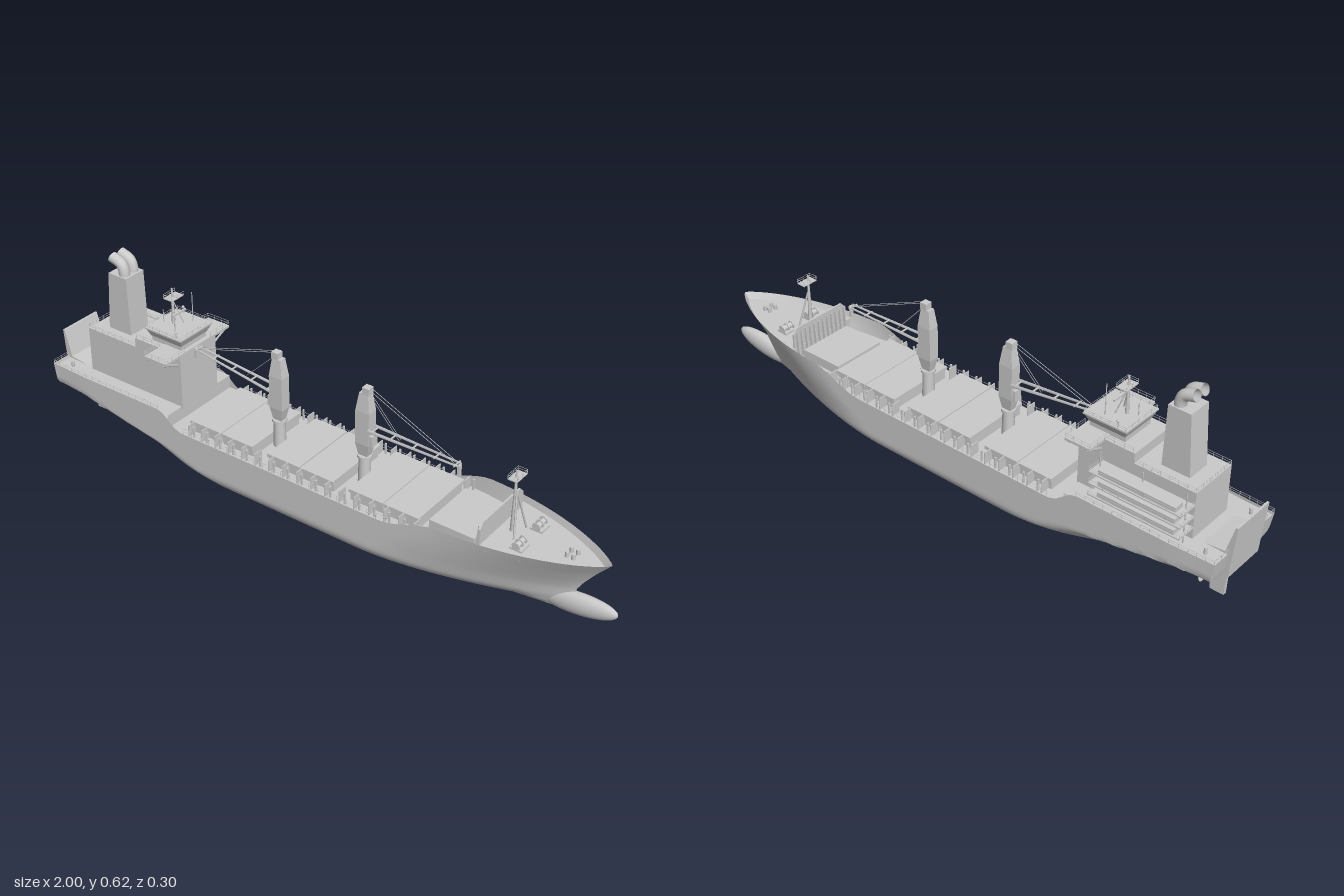
import * as THREE from 'three';
import { toCreasedNormals } from 'three/addons/utils/BufferGeometryUtils.js';

const mat = new THREE.MeshStandardMaterial({ color: 0xcccccc });
const thin = new THREE.MeshStandardMaterial({ color: 0xcccccc, side: THREE.DoubleSide });
const V = (x, y, z) => new THREE.Vector3(x, y, z);
const lerp = THREE.MathUtils.lerp, smooth = THREE.MathUtils.smoothstep;
const table = (pts, t) => {
  for (let i = 1; i < pts.length; i++)
    if (t <= pts[i][0]) return lerp(pts[i - 1][1], pts[i][1], Math.max(0, (t - pts[i - 1][0]) / (pts[i][0] - pts[i - 1][0])));
  return pts[pts.length - 1][1];
};

function add(parent, name, geo, x = 0, y = 0, z = 0, m = mat) {
  const mesh = new THREE.Mesh(geo, m);
  mesh.name = name;
  mesh.position.set(x, y, z);
  parent.add(mesh);
  return mesh;
}
function group(parent, name, x = 0, y = 0, z = 0) {
  const g = new THREE.Group();
  g.name = name;
  g.position.set(x, y, z);
  parent.add(g);
  return g;
}
// Box given by its limits
const box = (p, name, x0, x1, y0, y1, z0, z1) =>
  add(p, name, new THREE.BoxGeometry(x1 - x0, y1 - y0, z1 - z0), (x0 + x1) / 2, (y0 + y1) / 2, (z0 + z1) / 2);
// Round bar between two points
function bar(p, name, a, b, r = 0.0012, r2 = r, sides = 6) {
  const d = b.clone().sub(a), m = add(p, name, new THREE.CylinderGeometry(r2, r, d.length(), sides));
  m.position.copy(a).addScaledVector(d, 0.5);
  m.quaternion.setFromUnitVectors(V(0, 1, 0), d.normalize());
  return m;
}
// Railing with posts along a polyline
function rail(p, name, pts, h = 0.014, step = 0.03) {
  const g = group(p, name), up = k => V(0, h * k, 0);
  for (let i = 1; i < pts.length; i++) {
    const a = pts[i - 1], b = pts[i], n = Math.max(1, Math.round(a.distanceTo(b) / step));
    for (const k of [0.5, 1]) bar(g, 'railBar', a.clone().add(up(k)), b.clone().add(up(k)), 0.0008, 0.0008, 4);
    for (let j = 0; j <= n; j++) {
      const q = a.clone().lerp(b, j / n);
      bar(g, 'railPost', q, q.clone().add(up(1)), 0.0009, 0.0009, 4);
    }
  }
}
// Side profile (x, y) extruded across z
function slab(p, name, pts, z0, z1) {
  const s = new THREE.Shape(pts.map(q => new THREE.Vector2(q[0], q[1])));
  return add(p, name, new THREE.ExtrudeGeometry(s, { depth: z1 - z0, bevelEnabled: false }), 0, 0, z0);
}

// Hull form: sheer line, ends of each waterline and half width
const KEEL = 0.005;
const sheer = x => 0.165 + 0.053 * smooth(x, 0.3, 0.5) + 0.053 * (1 - smooth(x, -0.53, -0.44));
const aftEnd = y => table([[0, -0.8], [0.04, -0.84], [0.09, -0.85], [0.115, -0.92], [0.14, -0.968], [0.22, -0.982]], y);
const foreEnd = y => table([[0, 0.82], [0.05, 0.86], [0.09, 0.868], [0.12, 0.885], [0.17, 0.922], [0.22, 0.965]], y);
function halfWidth(x, y) {
  const t = y / 0.22, xs = lerp(0.2, 0.45, t), xf = foreEnd(y), xa = aftEnd(y);
  const f = THREE.MathUtils.clamp((x - xs) / (xf - xs), 0, 1);
  const bow = Math.pow(1 - Math.pow(f, lerp(1.7, 2.1, t)), lerp(1.15, 0.8, t));
  const k = 0.97 * smooth(y, 0.09, 0.16);
  const stern = lerp(k, 1, smooth((x - xa) / lerp(0.62, 0.16, Math.min(1, y / 0.15)), 0, 1));
  const w = 0.15 * bow * stern, r = Math.min(0.05, w), d = y - KEEL;
  return d < r ? w - r + Math.sqrt(Math.max(0, r * r - (r - d) ** 2)) : w;
}
// Open surface over a grid of points
function gridSurface(rows, cols, at) {
  const pos = [], idx = [];
  for (let i = 0; i < rows; i++) for (let j = 0; j < cols; j++) pos.push(...at(i, j));
  for (let i = 0; i < rows - 1; i++) for (let j = 0; j < cols - 1; j++) {
    const a = i * cols + j, b = a + cols;
    idx.push(a, b, a + 1, b, b + 1, a + 1);
  }
  const g = new THREE.BufferGeometry();
  g.setAttribute('position', new THREE.Float32BufferAttribute(pos, 3));
  g.setIndex(idx);
  return toCreasedNormals(g, 0.6);
}
function buildHull(ship) {
  const n = 22, cols = 110;
  add(ship, 'hull', gridSurface(cols + 2, 2 * n + 1, (i, j) => {
    const k = Math.abs(j - n), y0 = KEEL + (0.22 - KEEL) * Math.pow(Math.max(0, k - 1) / (n - 1), 1.4);
    const u = 0.5 - 0.5 * Math.cos(Math.PI * Math.max(0, i - 1) / cols);
    const x = lerp(aftEnd(y0), foreEnd(y0), u);
    const y = y0 < 0.1 ? y0 : lerp(0.1, sheer(x), (y0 - 0.1) / 0.12);
    return [x, y, k === 0 || i === 0 ? 0 : Math.sign(j - n) * halfWidth(x, y0)];
  }), 0, 0, 0, thin);
  // Decks, with a step at each end of the cargo area
  const xs = [];
  for (const [a, b, y] of [[-0.979, -0.49, 0.208], [-0.49, 0.61, 0.163], [0.61, 0.945, 0.198]])
    for (let i = 0; i <= 24; i++) xs.push([lerp(a, b, i / 24), y]);
  add(ship, 'deck', gridSurface(xs.length, 2, (i, j) => {
    const [x, y] = xs[i], y0 = 0.1 + 0.12 * Math.min(1, (y - 0.1) / (sheer(x) - 0.1));
    return [x, y, (j ? -1 : 1) * halfWidth(x, y0)];
  }), 0, 0, 0, thin);
  // Bulbous bow
  const bulb = add(ship, 'bulbousBow', new THREE.SphereGeometry(1, 32, 20), 0.875, 0.046, 0);
  bulb.scale.set(0.126, 0.036, 0.024);
  bulb.rotation.z = 0.12;
  // Rudder and propeller
  slab(ship, 'rudder', [[-0.94, 0], [-0.895, 0], [-0.888, 0.05], [-0.895, 0.125], [-0.945, 0.125]], -0.006, 0.006);
  const prop = group(ship, 'propeller', -0.868, 0.048, 0);
  bar(prop, 'propellerHub', V(-0.014, 0, 0), V(0.04, 0, 0), 0.005, 0.011, 16);
  for (let i = 0; i < 4; i++) {
    const arm = group(prop, 'propellerBlade');
    arm.rotation.x = i * Math.PI / 2 + 0.4;
    const blade = add(arm, 'blade', new THREE.SphereGeometry(1, 12, 8), 0, 0.019, 0);
    blade.scale.set(0.002, 0.019, 0.01);
    blade.rotation.y = 0.6;
  }
}
function buildCargoDeck(ship) {
  for (const x of [-0.42, -0.297, -0.12, 0.004, 0.18, 0.303]) {
    const g = group(ship, 'hatch');
    box(g, 'hatchCoaming', x, x + 0.115, 0.16, 0.195, -0.113, 0.113);
    box(g, 'hatchCover', x - 0.002, x + 0.118, 0.192, 0.203, -0.12, 0.12);
  }
  box(ship, 'forwardHatch', 0.44, 0.59, 0.16, 0.195, -0.095, 0.095);
  for (const s of [-1, 1]) {
    for (let x = -0.41; x < 0.44; x += 0.052) {
      box(ship, 'coamingStay', x, x + 0.003, 0.163, 0.203, s * 0.13 - 0.016, s * 0.13 + 0.016);
      box(ship, 'lashingPost', x + 0.015, x + 0.02, 0.163, 0.2, s * 0.14 - 0.003, s * 0.14 + 0.003);
    }
    rail(ship, 'mainDeckRail', [V(-0.43, 0.165, s * 0.148), V(0.33, 0.165, s * 0.148)], 0.02, 0.035);
  }
}
function buildCrane(ship, x, dir, tipY) {
  const c = group(ship, 'crane', x, 0, 0.012);
  bar(c, 'pedestal', V(0, 0.16, 0), V(0, 0.25, 0), 0.02, 0.018, 20);
  bar(c, 'slewRing', V(0, 0.25, 0), V(0, 0.258, 0), 0.023, 0.023, 20);
  // Tower: stacked square sections
  for (const [y0, y1, r0, r1] of [[0.258, 0.3, 0.022, 0.034], [0.3, 0.41, 0.034, 0.034], [0.41, 0.47, 0.034, 0.022]]) {
    const geo = new THREE.CylinderGeometry(r1, r0, y1 - y0, 4).toNonIndexed();
    geo.rotateY(Math.PI / 4);
    geo.computeVertexNormals();
    add(c, 'craneTower', geo, 0, (y0 + y1) / 2, 0).scale.z = 0.75;
  }
  box(c, 'sheaveHead', -0.012 + dir * 0.006, 0.012 + dir * 0.006, 0.468, 0.49, -0.012, 0.012);
  box(c, 'cab', dir > 0 ? 0.018 : -0.034, dir > 0 ? 0.034 : -0.018, 0.3, 0.335, -0.014, 0.014);
  // Twin-beam jib with cross ties
  const a = V(dir * 0.022, 0.355, 0), b = V(dir * 0.322, tipY, 0), at = (t, z) => a.clone().lerp(b, t).setZ(z);
  for (const s of [-1, 1]) {
    bar(c, 'jibBeam', at(0, s * 0.018), at(1, s * 0.009), 0.006, 0.004, 4);
    bar(c, 'luffingCable', V(dir * 0.01, 0.488, s * 0.006), at(0.98, s * 0.006), 0.0009);
    bar(c, 'hoistCable', V(dir * 0.01, 0.475, s * 0.004), at(0.33, s * 0.004), 0.0008);
  }
  for (const t of [0.04, 0.25, 0.5, 0.75, 0.97]) bar(c, 'jibTie', at(t, -0.017), at(t, 0.017), 0.003);
  box(c, 'hookBlock', b.x - 0.004, b.x + 0.004, tipY - 0.036, tipY, -0.006, 0.006);
}
function buildHouse(ship) {
  const h = group(ship, 'accommodation');
  box(h, 'aftHouse', -0.87, -0.67, 0.2, 0.36, -0.083, 0.083);
  box(h, 'foreHouse', -0.67, -0.485, 0.2, 0.392, -0.083, 0.083);
  rail(h, 'aftHouseRail', [V(-0.67, 0.36, 0.082), V(-0.869, 0.36, 0.082), V(-0.869, 0.36, -0.082), V(-0.67, 0.36, -0.082)]);
  // Bridge wings with sloping brackets
  box(h, 'bridgeDeck', -0.57, -0.485, 0.386, 0.394, -0.15, 0.15);
  for (const s of [-1, 1]) {
    for (const x of [-0.56, -0.495]) {
      bar(h, 'wingBracket', V(x, 0.358, s * 0.085), V(x, 0.364, s * 0.1), 0.004, 0.004, 4);
      bar(h, 'wingBracket', V(x, 0.358, s * 0.083), V(x, 0.384, s * 0.147), 0.004, 0.004, 4);
    }
    rail(h, 'wingRail', [V(-0.665, 0.392, s * 0.082), V(-0.57, 0.392, s * 0.082), V(-0.57, 0.394, s * 0.149),
      V(-0.486, 0.394, s * 0.149), V(-0.486, 0.394, s * 0.06)], 0.016);
  }
  // Wheelhouse flaring outward toward its roof
  const wh = new THREE.CylinderGeometry(0.102, 0.086, 0.026, 4).toNonIndexed();
  wh.rotateY(Math.PI / 4);
  wh.computeVertexNormals();
  box(h, 'wheelhouseBase', -0.62, -0.5, 0.39, 0.412, -0.058, 0.058);
  add(h, 'wheelhouse', wh, -0.56, 0.422, 0);
  box(h, 'wheelhouseRoof', -0.633, -0.487, 0.434, 0.439, -0.075, 0.075);
  rail(h, 'roofRail', [V(-0.63, 0.438, -0.073), V(-0.49, 0.438, -0.073), V(-0.49, 0.438, 0.073), V(-0.63, 0.438, 0.073), V(-0.63, 0.438, -0.073)], 0.012);
  // Radar mast
  bar(h, 'radarMast', V(-0.58, 0.438, 0), V(-0.58, 0.56, 0), 0.006, 0.003, 8);
  for (const s of [-1, 1]) bar(h, 'mastLeg', V(-0.555, 0.438, s * 0.02), V(-0.58, 0.52, 0), 0.002);
  box(h, 'mastPlatform', -0.595, -0.56, 0.528, 0.531, -0.03, 0.024);
  rail(h, 'mastRail', [V(-0.56, 0.53, -0.03), V(-0.56, 0.53, 0.024), V(-0.595, 0.53, 0.024), V(-0.595, 0.53, -0.03)], 0.013);
  box(h, 'radarScanner', -0.558, -0.553, 0.48, 0.486, -0.03, 0.03);
  for (const [x, z, y] of [[-0.53, 0.05, 0.5], [-0.54, -0.045, 0.54], [-0.61, 0.012, 0.48]]) bar(h, 'antenna', V(x, 0.438, z), V(x, y, z), 0.0015);
  for (const [x, z] of [[-0.51, 0.068], [-0.6, -0.068]]) {
    bar(h, 'searchlightPost', V(x, 0.438, z), V(x, 0.455, z), 0.002);
    add(h, 'searchlight', new THREE.SphereGeometry(0.005, 12, 8), x, 0.458, z);
  }
  // Funnel and its two bent exhaust pipes
  slab(h, 'funnel', [[-0.82, 0.355], [-0.728, 0.355], [-0.733, 0.558], [-0.806, 0.558]], -0.04, 0.04);
  const path = new THREE.CatmullRomCurve3([V(-0.758, 0.54, 0), V(-0.758, 0.575, 0), V(-0.768, 0.598, 0), V(-0.805, 0.612, 0)].map(p => p.add(V(0, -0.006, 0))));
  for (const z of [-0.019, 0.019]) add(h, 'exhaustPipe', new THREE.TubeGeometry(path, 20, 0.0175, 16), 0, 0, z, thin);
  // Galleries with stowed boats on the right-hand flank
  for (const y of [0.243, 0.28, 0.318]) {
    box(h, 'sideGallery', -0.87, -0.57, y, y + 0.004, -0.15, -0.08);
    box(h, 'stowedBoat', -0.85, -0.6, y + 0.006, y + 0.022, -0.148, -0.113);
    rail(h, 'galleryRail', [V(-0.87, y, -0.082), V(-0.87, y, -0.149), V(-0.57, y, -0.149), V(-0.57, y, -0.082)], 0.016, 0.05);
  }
  for (const x of [-0.86, -0.72, -0.58]) bar(h, 'galleryPost', V(x, 0.208, -0.112), V(x, 0.37, -0.112), 0.002);
}
function buildEnds(ship) {
  // Raised stern ramp, ribbed on its outer face
  slab(ship, 'sternRamp', [[-0.984, 0.13], [-0.9, 0.208], [-0.968, 0.215], [-0.992, 0.305], [-0.999, 0.305]], -0.075, 0.075);
  for (let i = 0; i < 7; i++) bar(ship, 'rampRib', V(-0.983, 0.15, -0.072 + i * 0.024), V(-0.997, 0.303, -0.072 + i * 0.024), 0.002, 0.002, 4);
  for (const s of [-1, 1]) {
    rail(ship, 'sternRail', [V(-0.98, 0.218, s * 0.08), V(-0.98, 0.218, s * 0.145), V(-0.9, 0.218, s * 0.148), V(-0.53, 0.218, s * 0.148)], 0.013);
    add(ship, 'sternBollard', new THREE.CylinderGeometry(0.005, 0.005, 0.022, 10), -0.93, 0.217, s * 0.11);
    // Forecastle winch, bollards and stowed mooring drums
    const w = group(ship, 'windlass', 0.71, 0.198, s * 0.055);
    box(w, 'windlassBed', -0.02, 0.02, 0, 0.006, -0.022, 0.022);
    bar(w, 'windlassDrum', V(0, 0.014, -0.022), V(0, 0.014, 0.022), 0.009, 0.009, 14);
    for (const z of [-0.02, 0, 0.02]) bar(w, 'drumFlange', V(0, 0.014, z - 0.002), V(0, 0.014, z + 0.002), 0.013, 0.013, 14);
    for (const x of [0.835, 0.855]) add(ship, 'bollard', new THREE.CylinderGeometry(0.006, 0.006, 0.018, 12), x, 0.206, s * 0.013);
    bar(ship, 'foremastLeg', V(0.68, 0.198, s * 0.034), V(0.66, 0.335, 0), 0.003);
  }
  // Breakwater with stiffeners behind it
  const s = new THREE.Shape([[-0.115, 0.163], [0.115, 0.163], [0.115, 0.25], [0.098, 0.268], [-0.098, 0.268], [-0.115, 0.25]].map(q => new THREE.Vector2(...q)));
  add(ship, 'breakwater', new THREE.ExtrudeGeometry(s, { depth: 0.006, bevelEnabled: false }), 0.612, 0, 0).rotation.y = Math.PI / 2;
  for (let i = 0; i < 12; i++) {
    const z = -0.104 + i * 0.0189;
    slab(ship, 'breakwaterRib', [[0.598, 0.163], [0.614, 0.163], [0.614, 0.255], [0.606, 0.255]], z - 0.0015, z + 0.0015);
  }
  // Foremast
  bar(ship, 'foremast', V(0.655, 0.198, 0), V(0.655, 0.4, 0), 0.008, 0.003, 10);
  box(ship, 'foremastPlatform', 0.64, 0.67, 0.376, 0.379, -0.032, 0.022);
  rail(ship, 'foremastRail', [V(0.64, 0.378, -0.032), V(0.67, 0.378, -0.032), V(0.67, 0.378, 0.022), V(0.64, 0.378, 0.022), V(0.64, 0.378, -0.032)], 0.014);
}

export function createModel() {
  const ship = new THREE.Group();
  ship.name = 'cargoShip';
  buildHull(ship);
  buildCargoDeck(ship);
  buildCrane(ship, -0.158, -1, 0.392);
  buildCrane(ship, 0.158, 1, 0.352);
  buildHouse(ship);
  buildEnds(ship);
  return ship;
}
